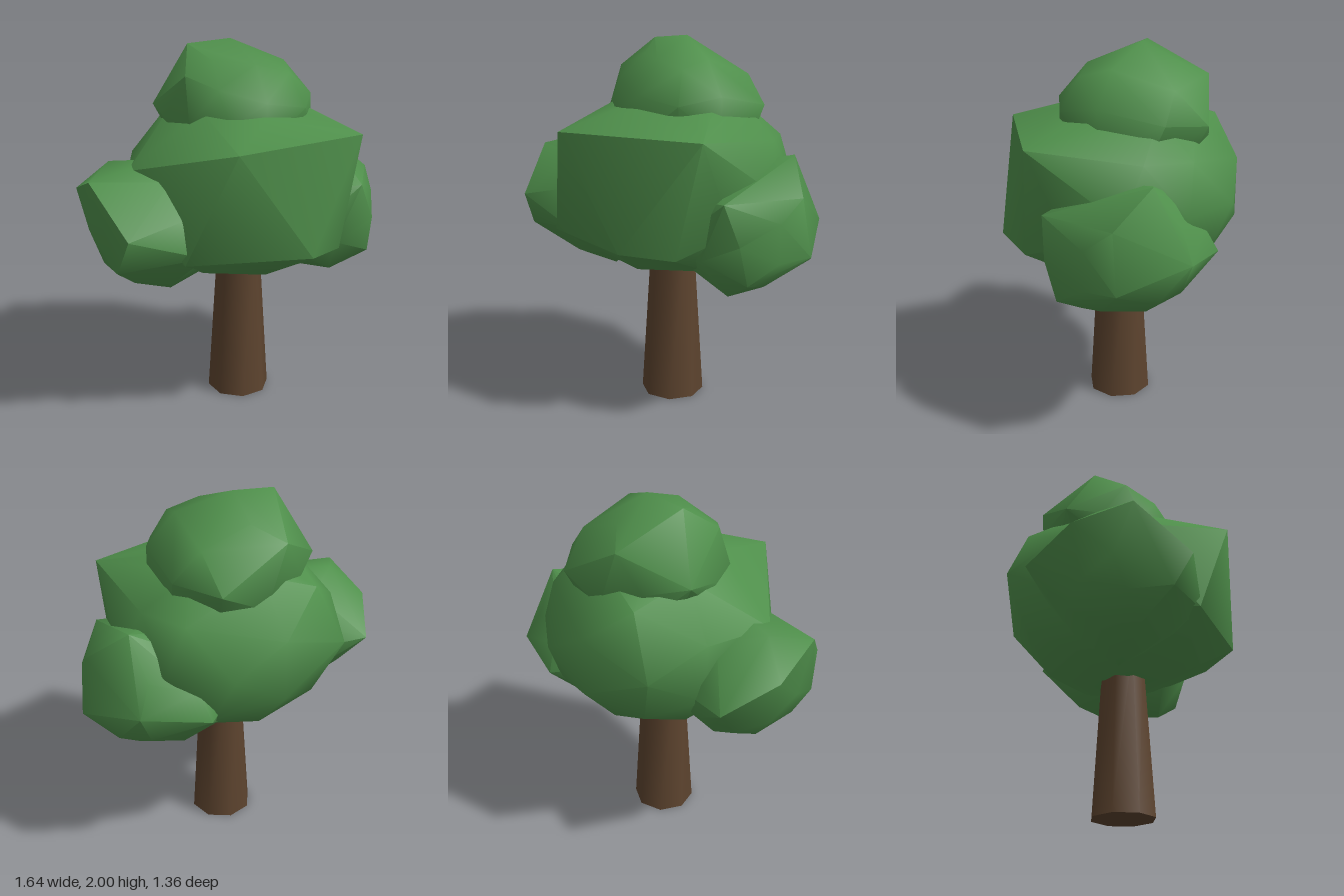
import * as THREE from 'three';
import { mergeVertices, toCreasedNormals } from 'three/addons/utils/BufferGeometryUtils.js';
import { ConvexGeometry } from 'three/addons/geometries/ConvexGeometry.js';

// A leaf clump: a low-poly ellipsoid pulled out to a few irregular corners.
function clumpGeometry(center, radii, cornerList) {
  const c = new THREE.Vector3(...center);
  const r = new THREE.Vector3(...radii);
  const corners = cornerList.map((p) => new THREE.Vector3(...p));
  const base = new THREE.IcosahedronGeometry(1, 1);
  base.deleteAttribute('normal');
  base.deleteAttribute('uv');
  const pos = mergeVertices(base, 1e-3).attributes.position;
  const points = [...corners];
  for (let i = 0; i < pos.count; i++) {
    const v = new THREE.Vector3().fromBufferAttribute(pos, i).multiply(r).add(c);
    // leave out the round points that a corner replaces
    if (!corners.some((p) => p.distanceTo(v) < 0.4 * r.x)) points.push(v);
  }
  return toCreasedNormals(new ConvexGeometry(points), 0.95);
}

export function createModel() {
  const tree = new THREE.Group();
  tree.name = 'tree';

  const bark = new THREE.MeshStandardMaterial({ color: 0x5c432e });
  bark.name = 'brown bark';
  const leaves = new THREE.MeshStandardMaterial({ color: 0x4f8f4b });
  leaves.name = 'green leaves';

  // Tapered eight-sided trunk, running up into the crown
  const trunkGeometry = new THREE.CylinderGeometry(0.118, 0.175, 0.9, 8);
  const trunk = new THREE.Mesh(toCreasedNormals(trunkGeometry, 0.9), bark);
  trunk.name = 'trunk';
  trunk.position.set(0.025, 0.45, 0.045);
  tree.add(trunk);

  const addClump = (name, center, radii, ...corners) => {
    const clump = new THREE.Mesh(clumpGeometry(center, radii, corners), leaves);
    clump.name = name;
    tree.add(clump);
  };

  // Crown: one large clump with three smaller ones set into it
  addClump('mainFoliage', [0.06, 1.23, 0.02], [0.62, 0.52, 0.62],
    [-0.51, 1.55, 0.43], [0.23, 1.55, 0.68], [-0.6, 0.97, 0.17],
    [-0.18, 0.99, 0.65], [0.1, 0.96, 0.64], [0.02, 1.26, -0.66],
    [0.1, 1.58, -0.52], [0.6, 1.48, -0.05], [-0.55, 1.38, -0.24]);
  addClump('topFoliage', [0.09, 1.61, -0.01], [0.42, 0.35, 0.41],
    [0.09, 2, -0.06], [-0.1, 1.98, -0.2], [0.42, 1.8, -0.05], [0.51, 1.65, 0.06],
    [-0.27, 1.84, -0.08], [0.09, 1.68, 0.42], [0.07, 1.62, -0.43], [0.1, 1.85, 0.31],
    [0.2, 1.82, -0.4], [-0.16, 1.65, -0.4], [0.5, 1.62, -0.2]);
  addClump('rightFoliage', [-0.4, 1.08, -0.18], [0.36, 0.34, 0.38],
    [-0.82, 1.12, 0], [-0.77, 1.36, -0.3], [-0.54, 1.41, -0.38], [-0.8, 0.93, -0.1],
    [-0.33, 0.68, -0.16], [-0.33, 1.12, -0.68], [-0.52, 1, 0.23], [-0.61, 1.25, -0.56]);
  addClump('leftFoliage', [0.41, 1.04, 0.22], [0.39, 0.33, 0.42],
    [0.82, 1.05, 0.09], [0.77, 0.87, 0.25], [0.67, 1.42, 0.22], [0.71, 1.25, 0.46],
    [0.33, 1.25, 0.64], [0.41, 1.05, 0.67], [0.76, 0.95, 0.47], [0.33, 0.7, 0.15],
    [0.62, 1, -0.2], [0.45, 0.84, 0.63], [0.35, 0.72, 0.45]);

  return tree;
}
